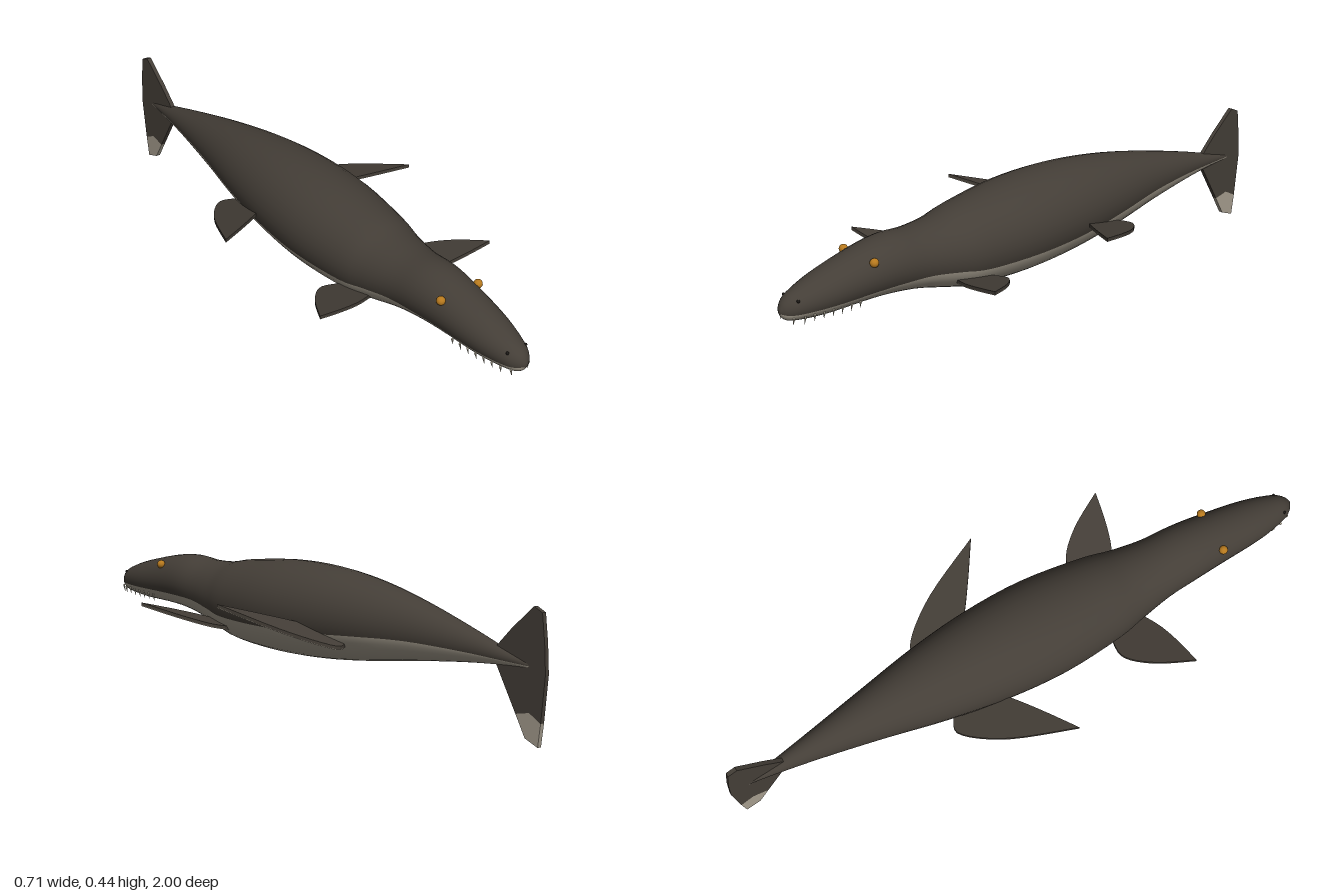
import * as THREE from 'three';

const material = (name, color) => {
  const m = new THREE.MeshStandardMaterial({ color });
  m.name = name;
  return m;
};

export function createModel() {
  const hide = material('dark hide', 0x443e37);
  const pale = material('pale belly', 0xa69e8f);
  const amber = material('amber', 0xb87a1e);
  const ivory = material('ivory', 0xd0c8b4);
  const black = material('nostril black', 0x1c1916);
  const model = new THREE.Group();
  const add = (name, geometry, mat) => {
    const mesh = new THREE.Mesh(geometry, mat);
    mesh.name = name;
    model.add(mesh);
    return mesh;
  };

  // Body sections: z, top, bottom, half width, height of the colour seam
  const sections = [
    [1.0, 0.302, 0.288, 0.006, 0.291], [0.985, 0.325, 0.268, 0.026, 0.288],
    [0.95, 0.345, 0.257, 0.046, 0.287], [0.85, 0.375, 0.246, 0.070, 0.286],
    [0.7, 0.405, 0.24, 0.086, 0.284], [0.6, 0.414, 0.23, 0.095, 0.282],
    [0.5, 0.405, 0.21, 0.102, 0.277], [0.4, 0.408, 0.181, 0.12, 0.262],
    [0.3, 0.424, 0.157, 0.142, 0.247], [0.1, 0.441, 0.143, 0.162, 0.242],
    [-0.1, 0.437, 0.146, 0.154, 0.242], [-0.3, 0.411, 0.163, 0.126, 0.251],
    [-0.5, 0.367, 0.188, 0.085, 0.256], [-0.7, 0.31, 0.209, 0.046, 0.246],
    [-0.85, 0.262, 0.219, 0.02, 0.234], [-0.96, 0.23, 0.22, 0.004, 0.226],
  ];
  const path = (f) => new THREE.CatmullRomCurve3(sections.map(f), false, 'catmullrom', 0.5);
  const outline = path(([z, top, , w]) => new THREE.Vector3(w, top, z));
  const under = path(([z, , bottom, , seam]) => new THREE.Vector3(seam, bottom, z));
  const rings = 60, upper = 20, lower = 14, around = upper + lower;
  const positions = [], backFaces = [], bellyFaces = [];
  for (let i = 0; i <= rings; i++) {
    const a = outline.getPoint(i / rings), b = under.getPoint(i / rings);
    const cy = (a.y + b.y) / 2, ry = (a.y - b.y) / 2;
    const s = Math.asin(THREE.MathUtils.clamp((b.x - cy) / ry, -0.95, 0.95));
    for (let j = 0; j < around; j++) {
      const t = j < upper
        ? s + (Math.PI - 2 * s) * j / upper
        : Math.PI - s + (Math.PI + 2 * s) * (j - upper) / lower;
      positions.push(a.x * Math.cos(t), cy + ry * Math.sin(t), a.z);
      if (i === rings) continue;
      const p = i * around + j, q = i * around + (j + 1) % around;
      (j < upper ? backFaces : bellyFaces).push(p, p + around, q, q, p + around, q + around);
    }
  }
  // Close the snout and the tail stem
  for (let j = 1; j < around - 1; j++) {
    const e = rings * around;
    backFaces.push(0, j, j + 1, e, e + j + 1, e + j);
  }
  const body = new THREE.BufferGeometry();
  body.setAttribute('position', new THREE.Float32BufferAttribute(positions, 3));
  body.setIndex([...backFaces, ...bellyFaces]);
  body.addGroup(0, backFaces.length, 0);
  body.addGroup(backFaces.length, bellyFaces.length, 1);
  body.computeVertexNormals();
  add('body', body, [hide, pale]);

  // Flippers: thin slabs that rise outward and forward, pale beneath
  const flipper = (name, side, points, y0, z0, riseX, riseZ) => {
    const at = ([x, z]) => new THREE.Vector2(side * x, -z);
    const [rootBack, ...rest] = points;
    const tip = 3;
    const shape = new THREE.Shape();
    shape.moveTo(at(rootBack).x, at(rootBack).y);
    shape.splineThru(rest.slice(0, tip).map(at));
    shape.splineThru(rest.slice(tip).map(at));
    shape.closePath();
    const slab = (depth, lift) => {
      const g = new THREE.ExtrudeGeometry(shape, { depth, bevelEnabled: false, curveSegments: 4 });
      g.rotateX(-Math.PI / 2);
      const p = g.attributes.position;
      for (let i = 0; i < p.count; i++) {
        p.setY(i, p.getY(i) + lift + y0 + riseX * (Math.abs(p.getX(i)) - 0.15) + riseZ * (p.getZ(i) - z0));
      }
      g.computeVertexNormals();
      return g;
    };
    add(name, slab(0.01, 0), hide);
    add(name + 'Underside', slab(0.002, -0.002), pale);
  };
  const front = [[0.10, 0.29], [0.185, 0.285], [0.26, 0.355], [0.325, 0.468], [0.24, 0.455], [0.16, 0.435], [0.08, 0.40]];
  const rear = [[0.10, -0.27], [0.165, -0.29], [0.265, -0.17], [0.357, 0.032], [0.25, -0.035], [0.155, -0.10], [0.10, -0.15]];
  for (const side of [1, -1]) {
    const label = side > 0 ? 'left' : 'right';
    flipper(label + 'FrontFlipper', side, front, 0.214, 0.29, 0.22, 0.17);
    flipper(label + 'RearFlipper', side, rear, 0.217, -0.28, 0.1, 0.28);

    // Eye
    const eye = add(label + 'Eye', new THREE.SphereGeometry(0.014, 14, 10), amber);
    eye.position.set(side * 0.07, 0.377, 0.705);

    // Nostril
    const nostril = add(label + 'Nostril', new THREE.SphereGeometry(0.005, 8, 6), black);
    nostril.position.set(side * 0.034, 0.327, 0.957);

    // Teeth along the jaw
    for (let i = 0; i < 8; i++) {
      const z = 0.975 - i * 0.031;
      const tooth = add(label + 'Tooth', new THREE.ConeGeometry(0.0035, 0.026, 6), ivory);
      tooth.position.set(side * (0.031 + 0.033 * Math.sqrt(i / 7)), 0.266 - 0.0012 * i, z);
      tooth.rotation.set(Math.PI, 0, side * 0.2);
    }
  }

  // Upright tail fin with a pale lower tip, outlined in z and y
  const blade = (name, points, mat) => {
    const shape = new THREE.Shape(points.map(([z, y]) => new THREE.Vector2(z, y)));
    const g = new THREE.ExtrudeGeometry(shape, { depth: 0.014, bevelEnabled: false });
    g.rotateY(-Math.PI / 2).translate(0.007, 0, 0);
    add(name, g, mat);
  };
  blade('tailFin', [[-0.80, 0.262], [-0.87, 0.33], [-0.953, 0.4], [-0.985, 0.385], [-0.995, 0.3],
    [-1, 0.21], [-0.985, 0.07], [-0.94, 0.095], [-0.888, 0.085], [-0.805, 0.228]], hide);
  blade('tailTip', [[-0.888, 0.085], [-0.94, 0.095], [-0.985, 0.07], [-0.975, 0], [-0.925, 0.02]], pale);

  return model;
}
